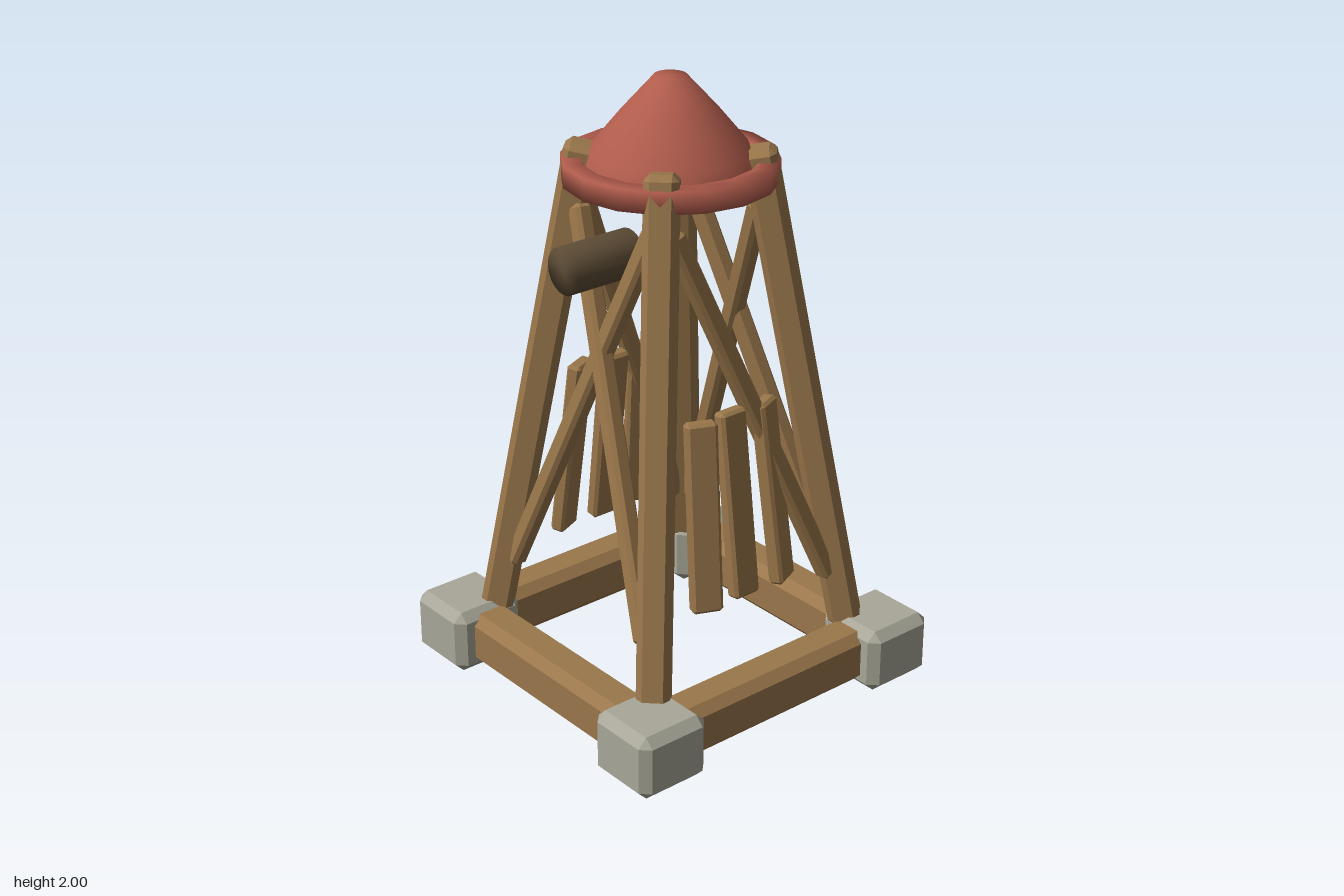
import * as THREE from 'three';
import { mergeVertices } from 'three/addons/utils/BufferGeometryUtils.js';
import { ConvexGeometry } from 'three/addons/geometries/ConvexGeometry.js';

const UP = new THREE.Vector3(0, 1, 0);

// Box with every edge cut by a flat chamfer c
function chamferBox(w, h, d, c) {
  const points = [];
  for (const x of [-w / 2, w / 2]) for (const y of [-h / 2, h / 2]) for (const z of [-d / 2, d / 2]) {
    const sx = Math.sign(x) * c, sy = Math.sign(y) * c, sz = Math.sign(z) * c;
    points.push(
      new THREE.Vector3(x, y - sy, z - sz),
      new THREE.Vector3(x - sx, y, z - sz),
      new THREE.Vector3(x - sx, y - sy, z));
  }
  return new ConvexGeometry(points);
}

// Centre line of the leaning legs: distance from the middle at height y
const legOffset = (y) => 0.4 - 0.135 * (y - 0.21);

export function createModel() {
  const group = new THREE.Group();
  const mat = (name, color) => {
    const m = new THREE.MeshStandardMaterial({ color });
    m.name = name;
    return m;
  };
  const wood = mat('wood', 0x9a774b);
  const stone = mat('stone', 0xa8a798);
  const darkWood = mat('dark wood', 0x5e4d36);
  const red = mat('red roof', 0xb05c4c);
  red.side = THREE.DoubleSide;

  const add = (name, geometry, material) => {
    const mesh = new THREE.Mesh(geometry, material);
    mesh.name = name;
    group.add(mesh);
    return mesh;
  };

  // Timber running from a to b, turned by spin about its own length
  const timber = (name, a, b, w, d, c, spin = 0) => {
    const dir = b.clone().sub(a);
    const mesh = add(name, chamferBox(w, dir.length(), d, c), wood);
    mesh.position.copy(a).add(b).multiplyScalar(0.5);
    mesh.quaternion.setFromUnitVectors(UP, dir.normalize())
      .multiply(new THREE.Quaternion().setFromAxisAngle(UP, spin));
  };
  const V = (x, y, z) => new THREE.Vector3(x, y, z);

  // Corner stones and leaning legs
  for (const sx of [-1, 1]) for (const sz of [-1, 1]) {
    add('cornerStone', chamferBox(0.255, 0.215, 0.255, 0.03), stone)
      .position.set(sx * 0.4725, 0.1075, sz * 0.4725);
    const low = legOffset(0.18), high = legOffset(1.79);
    timber('leg', V(sx * low, 0.18, sz * low), V(sx * high, 1.785, sz * high), 0.105, 0.105, 0.02, Math.PI / 4);
  }

  for (const s of [-1, 1]) {
    // Ground beams
    add('crossBeam', chamferBox(0.8, 0.175, 0.15, 0.03), wood).position.set(0, 0.11, s * 0.465);
    add('sideBeam', chamferBox(0.15, 0.175, 0.8, 0.03), wood).position.set(s * 0.465, 0.11, 0);

    // Crossed braces at front and back
    const low = legOffset(0.36), high = legOffset(1.6);
    for (const k of [-1, 1]) {
      timber('crossBrace', V(k * 0.34, 0.36, s * (low + k * 0.005)), V(-k * 0.17, 1.6, s * (high + k * 0.005)), 0.06, 0.06, 0.012);
    }
    // Single brace on each side
    timber('sideBrace', V(s * low, 0.36, -0.34), V(s * high, 1.6, 0.17), 0.06, 0.06, 0.012);

    // Fan of hanging planks on each side
    for (const i of [-1, 0, 1]) {
      const fan = new THREE.Group();
      fan.name = 'plankHolder';
      fan.rotation.y = (s > 0 ? 0 : Math.PI) + i * 0.41;
      const plank = new THREE.Mesh(chamferBox(0.05, 0.615, 0.1, 0.01), wood);
      plank.name = 'plank';
      plank.position.set(i ? 0.357 : 0.32, 0.705, 0);
      plank.rotation.z = 0.125;
      fan.add(plank);
      group.add(fan);
    }
  }

  // Round log under the roof, with soft shading over its ends
  const round = new THREE.CylinderGeometry(0.075, 0.075, 0.25, 20);
  round.rotateX(Math.PI / 2);
  round.deleteAttribute('normal');
  round.deleteAttribute('uv');
  const log = mergeVertices(round);
  log.computeVertexNormals();
  add('log', log, darkWood).position.set(0, 1.48, 0.285);

  // Roof cone and its raised rim
  const lathe = (pts) => new THREE.LatheGeometry(pts.map(([r, y]) => new THREE.Vector2(r, y)), 16);
  add('roofCone', lathe([[0.265, 1.71], [0.245, 1.775], [0.15, 1.89], [0.05, 2], [0, 2]]), red);
  add('roofRim', lathe([[0.27, 1.68], [0.333, 1.68], [0.333, 1.75], [0.275, 1.75], [0.255, 1.71], [0.27, 1.68]]), red);

  return group;
}
